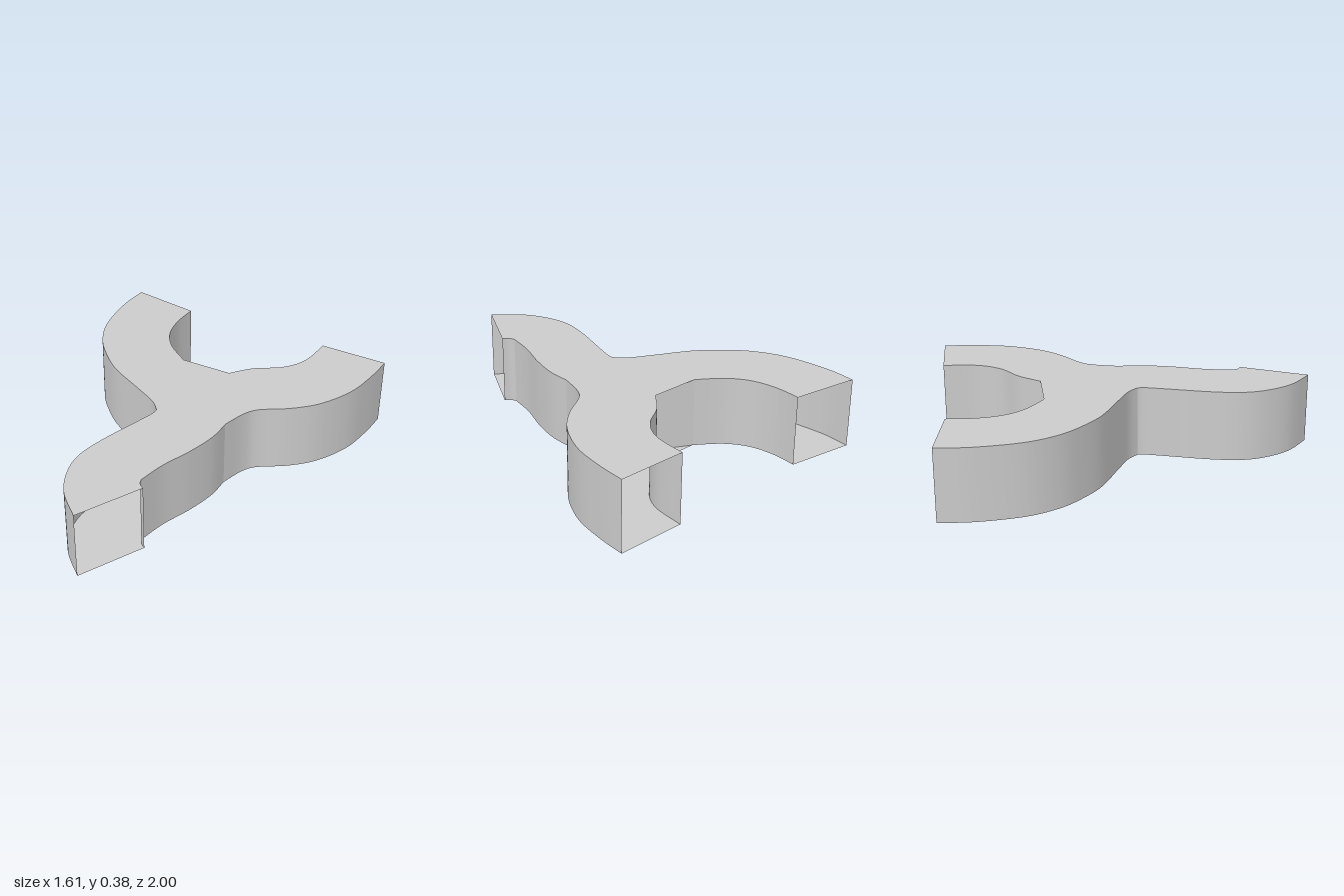
import * as THREE from 'three';

const HEIGHT = 0.38;
const material = new THREE.MeshStandardMaterial({ color: 0xcccccc, side: THREE.DoubleSide });

// Smooth plan curve through [x, z] points
function curve(points, steps = 48) {
  return new THREE.SplineCurve(points.map(([x, z]) => new THREE.Vector2(x, z))).getPoints(steps);
}

// Upright wall following a plan curve, with smooth normals
function wall(name, line) {
  const pos = [], index = [];
  line.forEach((p, i) => {
    pos.push(p.x, 0, p.y, p.x, HEIGHT, p.y);
    if (i) {
      const a = 2 * i - 2;
      index.push(a, a + 1, a + 2, a + 1, a + 3, a + 2);
    }
  });
  const geo = new THREE.BufferGeometry();
  geo.setAttribute('position', new THREE.Float32BufferAttribute(pos, 3));
  geo.setIndex(index);
  geo.computeVertexNormals();
  const mesh = new THREE.Mesh(geo, material);
  mesh.name = name;
  return mesh;
}

// Flat plate filling the outline
function plate(name, outline, y, faceUp) {
  const geo = new THREE.ShapeGeometry(new THREE.Shape(outline.map(p => new THREE.Vector2(p.x, -p.y))));
  geo.rotateX(-Math.PI / 2);
  if (!faceUp) {
    geo.index.array.reverse();
    geo.attributes.normal.array.forEach((v, i, arr) => { arr[i] = -v; });
  }
  const mesh = new THREE.Mesh(geo, material);
  mesh.name = name;
  mesh.position.y = y;
  return mesh;
}

export function createModel() {
  const group = new THREE.Group();
  group.name = 'forkedChannel';

  // Right side: from the arm's open end to the waist, then down to the foot tip
  const rightArm = curve([[-0.795, -1], [-0.81, -0.82], [-0.783, -0.58], [-0.71, -0.41], [-0.61, -0.29],
    [-0.48, -0.18], [-0.29, -0.08], [-0.15, -0.005], [-0.09, 0.055]]);
  const rightFoot = curve([[-0.09, 0.055], [-0.095, 0.105], [-0.14, 0.24], [-0.2, 0.42], [-0.233, 0.58],
    [-0.215, 0.72], [-0.14, 0.87], [0, 1]]);

  // Left side: from the small lip on the foot up to the waist, then out to the arm's open end
  const lip = curve([[0.182, 0.665], [0.152, 0.642], [0.14, 0.61]], 8);
  const leftFoot = curve([[0.14, 0.61], [0.175, 0.46], [0.24, 0.29], [0.282, 0.13], [0.288, 0]]);
  const leftArm = curve([[0.288, 0], [0.33, -0.13], [0.385, -0.205], [0.53, -0.3], [0.65, -0.42],
    [0.745, -0.6], [0.785, -0.79], [0.8, -0.955]]);

  // Inner sides of the fork
  const leftInner = curve([[0.425, -0.96], [0.4, -0.77], [0.32, -0.645], [0.185, -0.555], [0.085, -0.445]]);
  const rightInner = curve([[-0.2, -0.445], [-0.33, -0.545], [-0.405, -0.66], [-0.43, -0.8], [-0.42, -0.945]]);

  // The inner walls run on under the plates and meet in a crease
  const crease = new THREE.Vector2(0, -0.34);

  group.add(
    wall('rightOuterWall', [...rightArm, ...rightFoot.slice(1)]),
    wall('footLip', lip),
    wall('leftFootWall', leftFoot),
    wall('leftArmWall', leftArm),
    wall('leftInnerWall', [...leftInner, crease]),
    wall('rightInnerWall', [crease, ...rightInner]),
  );

  // Plates close top and bottom; the arm and foot ends stay open
  const outline = [rightArm, rightFoot.slice(1), lip, leftFoot.slice(1), leftArm.slice(1), leftInner, rightInner].flat();
  group.add(plate('topPlate', outline, HEIGHT, true), plate('bottomPlate', outline, 0, false));
  return group;
}
